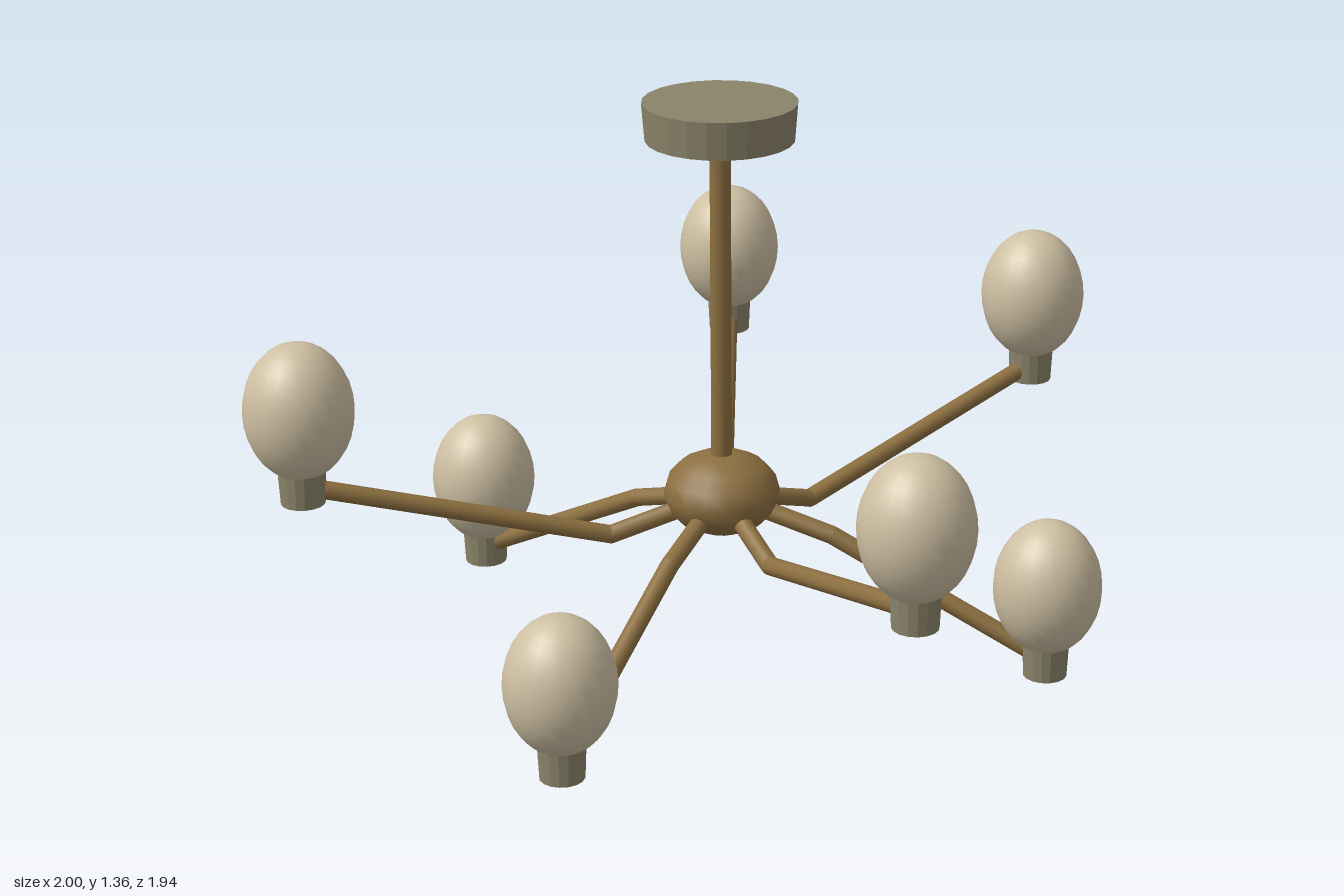
import * as THREE from 'three';

const brass = new THREE.MeshStandardMaterial({ color: 0x8c6f40 });
brass.name = 'brass';
const pewter = new THREE.MeshStandardMaterial({ color: 0x8b846a });
pewter.name = 'pewter';
pewter.flatShading = true;
const glass = new THREE.MeshStandardMaterial({ color: 0xcdbfa2 });
glass.name = 'creamGlass';

function add(parent, name, geometry, material, x = 0, y = 0, z = 0) {
  const mesh = new THREE.Mesh(geometry, material);
  mesh.name = name;
  mesh.position.set(x, y, z);
  parent.add(mesh);
  return mesh;
}

// Straight round bar between two points of the arm's own plane
function addBar(parent, name, [x0, y0], [x1, y1], radius) {
  const length = Math.hypot(x1 - x0, y1 - y0);
  const bar = add(parent, name, new THREE.CylinderGeometry(radius, radius, length, 12),
    brass, (x0 + x1) / 2, (y0 + y1) / 2);
  bar.rotation.z = Math.atan2(y1 - y0, x1 - x0) - Math.PI / 2;
}

// Bent arm along local +x, carrying a cup and an egg-shaped globe
function createArm(reach, base) {
  const arm = new THREE.Group();
  const root = [0.05, 0.375], elbow = [0.27, 0.308], tip = [reach, base + 0.04];
  const radius = 0.022;
  addBar(arm, 'innerArm', root, elbow, radius);
  add(arm, 'elbow', new THREE.SphereGeometry(radius, 12, 8), brass, ...elbow);
  addBar(arm, 'outerArm', elbow, tip, radius);
  add(arm, 'cup', new THREE.CylinderGeometry(0.056, 0.052, 0.085, 16), pewter, reach, base + 0.0425);
  add(arm, 'globe', new THREE.SphereGeometry(0.129, 24, 16), glass, reach, base + 0.228)
    .scale.y = 1.28;
  return arm;
}

export function createModel() {
  const lamp = new THREE.Group();
  lamp.name = 'chandelier';
  lamp.position.set(-0.1, 0, -0.05);

  // Ceiling mount, rod and hub
  add(lamp, 'canopy', new THREE.CylinderGeometry(0.181, 0.174, 0.09, 24), pewter, 0, 1.315, 0);
  add(lamp, 'rod', new THREE.CylinderGeometry(0.025, 0.025, 0.89, 12), brass, 0, 0.835, 0);
  add(lamp, 'hub', new THREE.SphereGeometry(0.14, 16, 8), brass, 0, 0.395, 0).scale.y = 0.72;

  // Seven evenly spaced arms, short low ones among long high ones
  const high = [false, true, true, false, true, false, true];
  high.forEach((isHigh, i) => {
    const arm = isHigh ? createArm(0.992, 0.455) : createArm(0.79, 0);
    arm.name = isHigh ? 'highArm' : 'lowArm';
    arm.rotation.y = Math.PI / 2 - (i * 2 * Math.PI) / 7;
    lamp.add(arm);
  });

  const model = new THREE.Group();
  model.add(lamp);
  return model;
}
